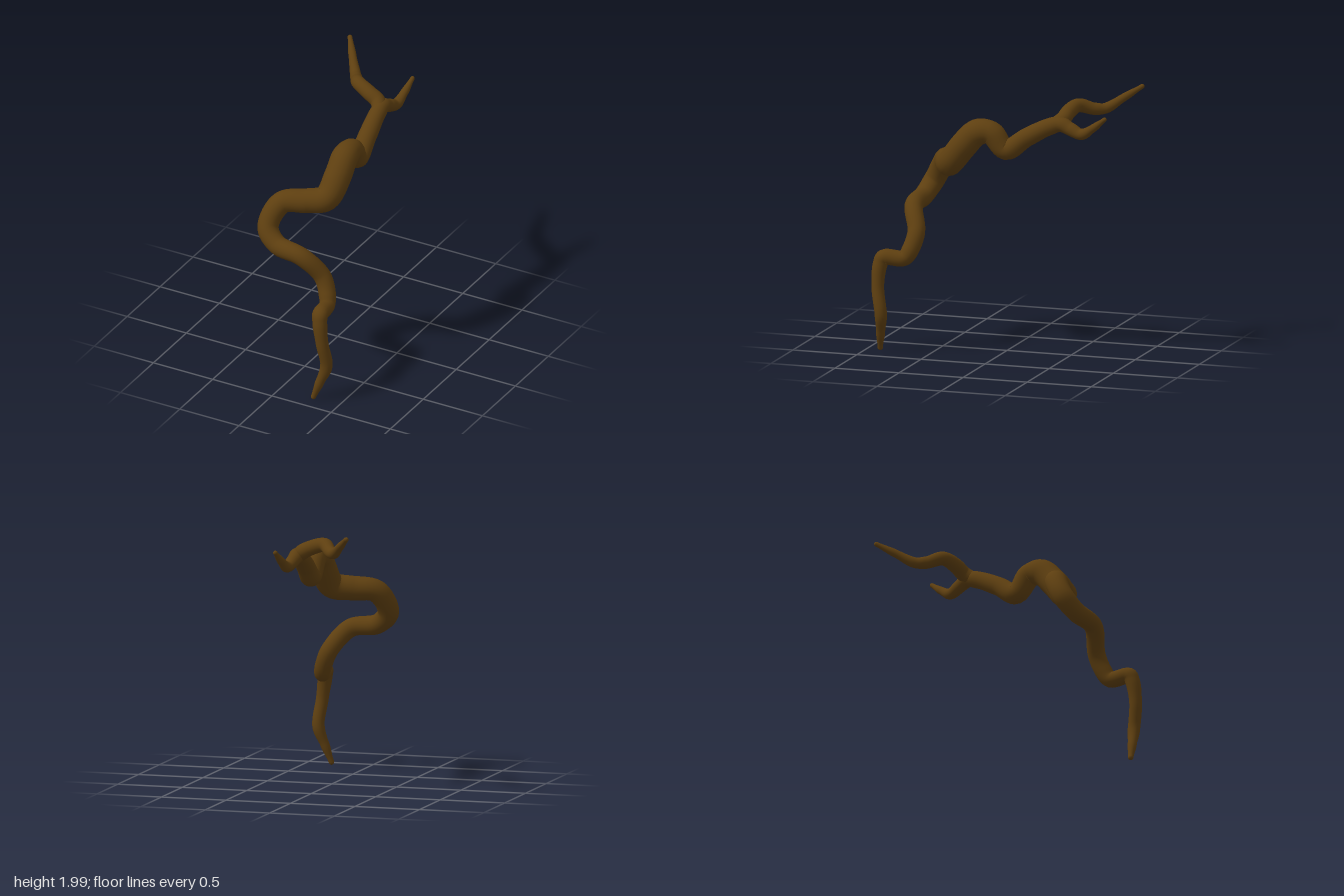
import * as THREE from 'three';

const bark = new THREE.MeshStandardMaterial({ color: 0x5e3f10 });
bark.name = 'bark brown';

const SIDES = 20, STEPS = 8;

// Sweeps a round section of changing radius along [x, y, z, radius] points, with rounded ends.
function limb(name, pts) {
  const curve = new THREE.CatmullRomCurve3(
    pts.map(p => new THREE.Vector3(p[0], p[1], p[2])), false, 'centripetal');
  const rings = [];
  const n = (pts.length - 1) * STEPS;
  for (let i = 0; i <= n; i++) {
    const t = i / n, f = t * (pts.length - 1);
    const k = Math.min(Math.floor(f), pts.length - 2);
    const r = THREE.MathUtils.lerp(pts[k][3], pts[k + 1][3], THREE.MathUtils.smoothstep(f - k, 0, 1));
    rings.push({ c: curve.getPoint(t), d: curve.getTangent(t), r });
  }
  // Hemisphere caps
  const cap = (end, sign) => [0.35, 0.7, 0.92, 1].map(s => ({
    c: end.c.clone().addScaledVector(end.d, sign * s * end.r),
    d: end.d, r: Math.max(end.r * Math.sqrt(1 - s * s), 0.0005),
  }));
  const all = [...cap(rings[0], -1).reverse(), ...rings, ...cap(rings[n], 1)];

  const pos = [], idx = [];
  const normal = new THREE.Vector3(1, 0, 0), side = new THREE.Vector3(), v = new THREE.Vector3();
  all.forEach(({ c, d, r }, i) => {
    // Carry the section frame along without twisting
    normal.addScaledVector(d, -normal.dot(d)).normalize();
    side.crossVectors(d, normal);
    for (let j = 0; j < SIDES; j++) {
      const a = j / SIDES * Math.PI * 2;
      v.copy(c).addScaledVector(normal, Math.cos(a) * r).addScaledVector(side, Math.sin(a) * r);
      pos.push(v.x, v.y, v.z);
      if (i === all.length - 1) continue;
      const p = i * SIDES + j, q = i * SIDES + (j + 1) % SIDES;
      idx.push(p, q, p + SIDES, q, q + SIDES, p + SIDES);
    }
  });
  const geo = new THREE.BufferGeometry();
  geo.setAttribute('position', new THREE.Float32BufferAttribute(pos, 3));
  geo.setIndex(idx);
  geo.computeVertexNormals();
  const mesh = new THREE.Mesh(geo, bark);
  mesh.name = name;
  return mesh;
}

export function createModel() {
  const group = new THREE.Group();
  group.name = 'twistedBranch';

  // Main stem, from the lower tip up to the straight twig
  group.add(limb('mainStem', [
    [0.29, 0.02, 0.89, 0.02],
    [0.335, 0.15, 0.872, 0.034],
    [0.38, 0.29, 0.855, 0.046],
    [0.36, 0.49, 0.885, 0.047],
    [0.335, 0.66, 0.875, 0.055],
    [0.325, 0.71, 0.85, 0.06],
    [0.30, 0.71, 0.70, 0.06],
    [0.275, 0.78, 0.655, 0.065],
    [0.22, 0.90, 0.632, 0.066],
    [0.08, 1.06, 0.70, 0.069],
    [-0.13, 1.10, 0.69, 0.074],
    [-0.23, 1.20, 0.645, 0.079],
    [-0.17, 1.37, 0.54, 0.084],
    [0.0, 1.395, 0.465, 0.092],
    [0.125, 1.42, 0.40, 0.098],
    [0.16, 1.56, 0.285, 0.102],
    [0.16, 1.665, 0.18, 0.1],
    [0.157, 1.67, 0.07, 0.088],
    [0.148, 1.55, -0.04, 0.078],
    [0.14, 1.65, -0.20, 0.07],
    [0.125, 1.74, -0.37, 0.064],
    [0.122, 1.765, -0.46, 0.058],
    [0.13, 1.735, -0.54, 0.05],
    [0.145, 1.705, -0.63, 0.042],
    [0.16, 1.76, -0.725, 0.03],
    [0.175, 1.835, -0.82, 0.017],
  ]));

  // Forked twig
  group.add(limb('sideTwig', [
    [0.125, 1.755, -0.41, 0.055],
    [0.08, 1.795, -0.465, 0.058],
    [0.0, 1.835, -0.48, 0.056],
    [-0.11, 1.865, -0.52, 0.052],
    [-0.185, 1.83, -0.62, 0.046],
    [-0.235, 1.83, -0.69, 0.04],
    [-0.32, 1.90, -0.80, 0.03],
    [-0.405, 1.975, -0.915, 0.018],
  ]));
  return group;
}
